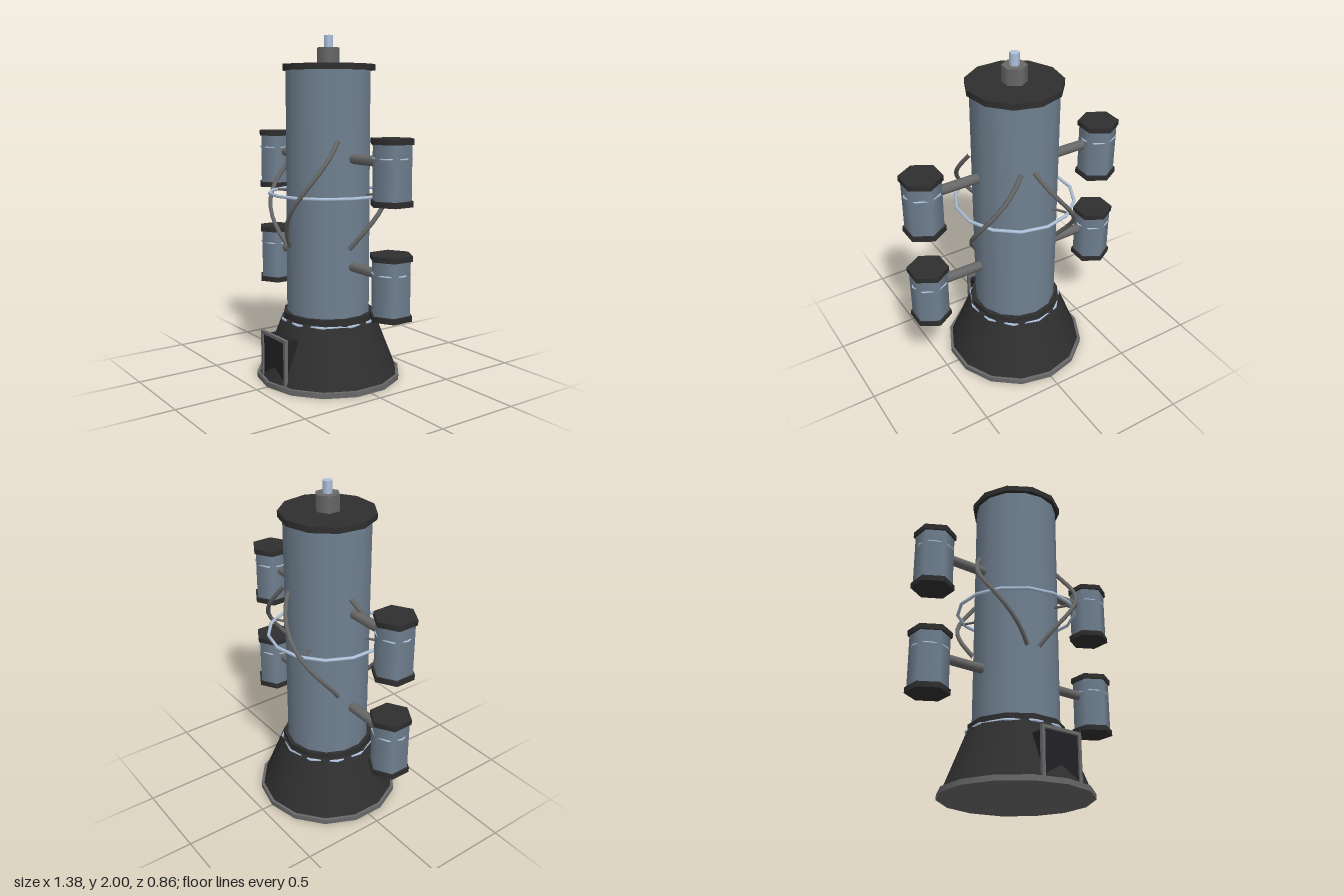
import * as THREE from 'three';

const mat = (color) => new THREE.MeshStandardMaterial({ color });
const steel = mat(0x708090);
const dark = mat(0x2f2f2f);
const grey = mat(0x696969);
const pale = mat(0xb0c4de);
const black = mat(0x222226);

function add(parent, name, geometry, material, x = 0, y = 0, z = 0) {
  const mesh = new THREE.Mesh(geometry, material);
  mesh.name = name;
  mesh.position.set(x, y, z);
  parent.add(mesh);
  return mesh;
}

// Upright drum between two heights
function drum(parent, name, material, rBottom, rTop, y0, y1, sides, turn = 0) {
  const g = new THREE.CylinderGeometry(rTop, rBottom, y1 - y0, sides).rotateY(turn);
  return add(parent, name, g, material, 0, (y0 + y1) / 2, 0);
}

// Level hoop with a corner towards the back
function hoop(parent, name, material, r, tube, y, sides) {
  const g = new THREE.TorusGeometry(r, tube, 6, sides).rotateX(Math.PI / 2).rotateY(Math.PI / 2);
  return add(parent, name, g, material, 0, y, 0);
}

// Direction around the tower: 0 is the front, 90 is +x
const polar = (deg, r, y) => {
  const a = THREE.MathUtils.degToRad(deg);
  return new THREE.Vector3(Math.sin(a) * r, y, Math.cos(a) * r);
};

// Side canister on its arm
function sidePod(side, y) {
  const pod = new THREE.Group();
  pod.name = 'sidePod';
  const can = new THREE.Group();
  can.name = 'canister';
  can.position.set(side * 0.58, y, 0);
  drum(can, 'canisterBody', steel, 0.11, 0.11, -0.16, 0.16, 6);
  drum(can, 'canisterFoot', dark, 0.121, 0.121, -0.178, -0.147, 6);
  drum(can, 'canisterLid', dark, 0.121, 0.121, 0.147, 0.178, 6);
  hoop(can, 'canisterBand', pale, 0.103, 0.005, 0.073, 8);
  pod.add(can);
  const arm = new THREE.CylinderGeometry(0.029, 0.029, 0.27, 8).rotateZ(Math.PI / 2);
  add(pod, 'arm', arm, grey, side * 0.335, y + 0.048, 0);
  return pod;
}

// Bowed tube that climbs around the tower
function bowedPipe(centre, twist) {
  const points = [];
  for (let i = 0; i <= 10; i++) {
    const t = i / 10;
    points.push(polar(centre + twist * (t - 0.5), 0.25 + 0.12 * Math.sin(Math.PI * t), 0.8 + 0.61 * t));
  }
  return new THREE.TubeGeometry(new THREE.CatmullRomCurve3(points), 12, 0.013, 6);
}

export function createModel() {
  const model = new THREE.Group();
  model.name = 'tower';

  // Base
  drum(model, 'basePlate', grey, 0.43, 0.43, 0, 0.03, 14);
  drum(model, 'baseCone', dark, 0.412, 0.28, 0.03, 0.365, 14);
  hoop(model, 'baseBand', pale, 0.281, 0.008, 0.358, 11);
  drum(model, 'baseCollar', dark, 0.272, 0.272, 0.365, 0.4, 11, Math.PI);

  // Doorway in the base
  const door = new THREE.Group();
  door.name = 'doorway';
  add(door, 'doorBox', new THREE.BoxGeometry(0.23, 0.25, 0.13), black, 0, 0.155, 0.315);
  for (const s of [-1, 1]) {
    add(door, 'doorPost', new THREE.BoxGeometry(0.018, 0.27, 0.02), grey, s * 0.122, 0.165, 0.38);
  }
  add(door, 'doorLintel', new THREE.BoxGeometry(0.262, 0.018, 0.02), grey, 0, 0.292, 0.38);
  model.add(door);

  // Column and top
  drum(model, 'column', steel, 0.247, 0.247, 0.38, 1.81, 14);
  drum(model, 'topCap', dark, 0.272, 0.272, 1.802, 1.836, 11, Math.PI);
  drum(model, 'topHub', grey, 0.071, 0.071, 1.836, 1.93, 6);
  drum(model, 'topRod', pale, 0.029, 0.029, 1.93, 2.0, 6);

  // Side pods, two on each side
  for (const side of [-1, 1]) {
    for (const y of [0.648, 1.262]) model.add(sidePod(side, y));
  }

  // Ring with spokes, wrapped by bowed pipes
  hoop(model, 'ring', pale, 0.346, 0.01, 1.1, 14);
  for (let i = 0; i < 4; i++) {
    const angle = 30 + i * 90;
    const spoke = new THREE.LineCurve3(polar(angle, 0.23, 1.1), polar(angle, 0.37, 1.1));
    add(model, 'spoke', new THREE.TubeGeometry(spoke, 1, 0.008, 6), grey);
    add(model, 'bowedPipe', bowedPipe(angle, i < 2 ? 74 : -74), grey);
  }
  return model;
}
